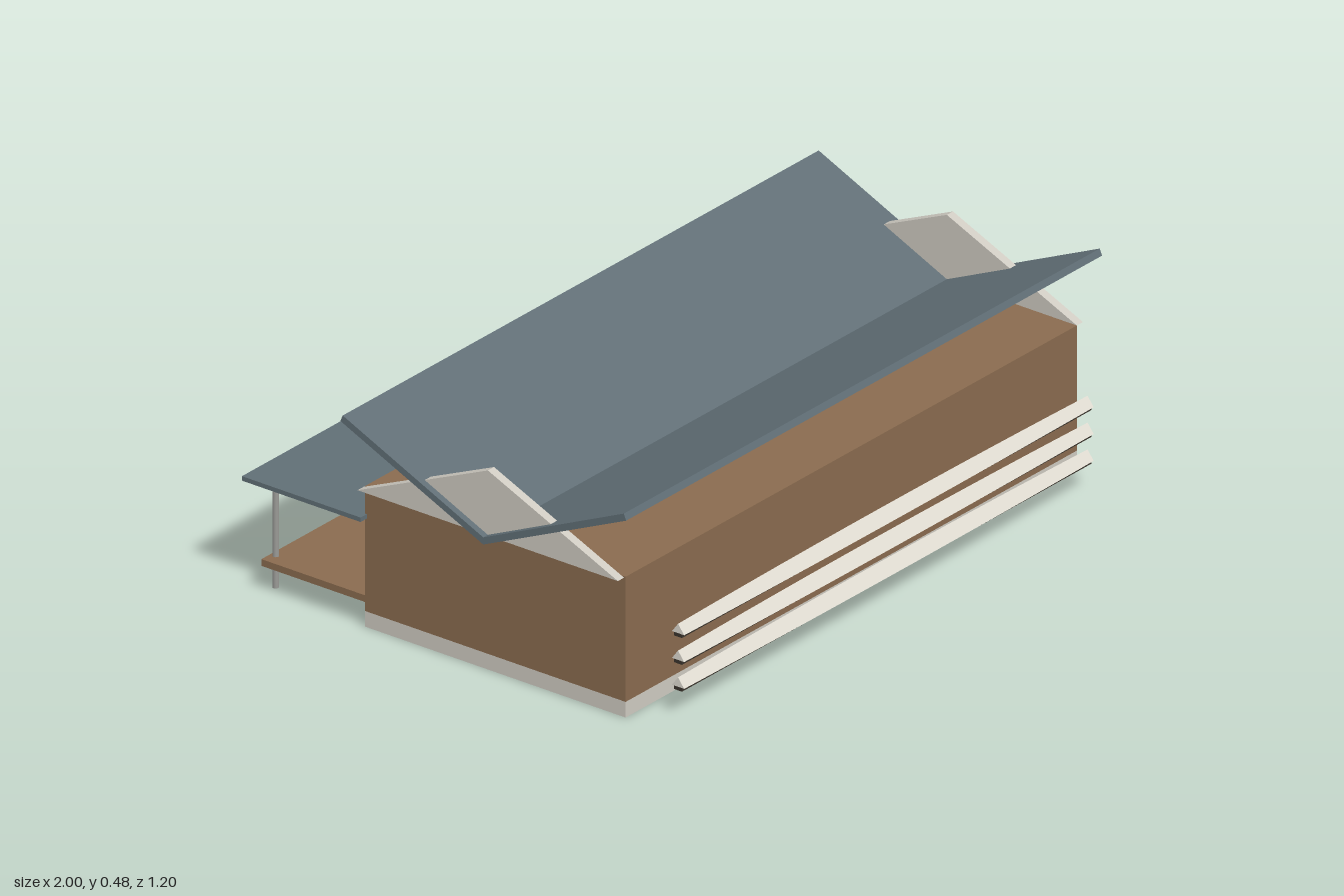
import * as THREE from 'three';

const mat = (name, color) => {
  const m = new THREE.MeshStandardMaterial({ color });
  m.name = name;
  return m;
};

export function createModel() {
  const group = new THREE.Group();
  const wood = mat('wood', 0x8a6b4f);
  const stone = mat('pale stone', 0xcfcbc2);
  const slate = mat('slate roof', 0x616f76);
  const glass = mat('glass', 0x4f6876);
  const hullPaint = mat('hull white', 0xe0dcd2);
  const dark = mat('dark timber', 0x3a342c);
  const steel = mat('post grey', 0x9a9a96);

  const add = (name, geometry, material) => {
    const mesh = new THREE.Mesh(geometry, material);
    mesh.name = name;
    group.add(mesh);
    return mesh;
  };

  // Box given by its limits on each axis
  const box = (name, material, x0, x1, y0, y1, z0, z1) => {
    const g = new THREE.BoxGeometry(x1 - x0, y1 - y0, z1 - z0);
    g.translate((x0 + x1) / 2, (y0 + y1) / 2, (z0 + z1) / 2);
    return add(name, g, material);
  };

  // Profile in (z, y), extruded along x
  const prism = (points, x0, x1, steps = 1) => {
    const shape = new THREE.Shape(points.map(([z, y]) => new THREE.Vector2(z, y)));
    const g = new THREE.ExtrudeGeometry(shape, { depth: x1 - x0, bevelEnabled: false, steps });
    return g.rotateY(-Math.PI / 2).translate(x1, 0, 0);
  };

  // Main hall
  box('plinth', stone, -0.96, 0.5, 0, 0.035, -0.167, 0.5);
  box('hallWalls', wood, -0.96, 0.5, 0.035, 0.315, -0.167, 0.5);

  // Gable plates at both ends
  const gable = [[-0.167, 0.315], [0.5, 0.315], [0.167, 0.461]];
  add('rightGable', prism(gable, -0.985, -0.965), stone);
  add('leftGable', prism(gable, 0.5, 0.52), stone);

  // Butterfly roof
  add('butterflyRoof', prism([
    [0.167, 0.301], [0.533, 0.466], [0.527, 0.48],
    [0.167, 0.317], [-0.193, 0.48], [-0.199, 0.466],
  ], -1, 0.54), slate);

  // Rear veranda
  box('verandaDeck', wood, -0.96, 0.5, 0.055, 0.07, -0.433, -0.167);
  box('verandaRoof', slate, -0.98, 0.52, 0.243, 0.253, -0.467, -0.163);
  box('rearGlazing', glass, -0.93, 0.47, 0.07, 0.243, -0.174, -0.166);
  for (let i = 0; i < 7; i++) {
    const g = new THREE.CylinderGeometry(0.007, 0.007, 0.243, 12);
    g.translate(-0.93 + i * 1.4 / 6, 0.1215, -0.42);
    add('verandaPost', g, steel);
  }

  // Gangway and jetty on short piles
  box('gangway', wood, 0.5, 0.9, 0.043, 0.057, -0.067, 0.133);
  box('jetty', wood, 0.8, 1, 0.028, 0.043, -0.6, 0);
  for (const x of [0.82, 0.98]) {
    for (const z of [-0.067, -0.3, -0.533]) {
      const g = new THREE.CylinderGeometry(0.009, 0.009, 0.028, 10);
      add('jettyPile', g.translate(x, 0.014, z), dark);
    }
  }

  // Stacked upturned boats, slimmer towards both ends
  const x0 = -0.89, x1 = 0.435, mid = (x0 + x1) / 2, half = (x1 - x0) / 2;
  for (const y of [0.066, 0.126, 0.186]) {
    const hull = prism([[-0.021, 0], [0.021, 0], [0, 0.028]], x0, x1, 12);
    const p = hull.attributes.position;
    for (let i = 0; i < p.count; i++) {
      const t = (p.getX(i) - mid) / half;
      const s = 1 - 0.25 * t * t;
      p.setXYZ(i, p.getX(i), y + p.getY(i) * s, 0.579 + p.getZ(i) * s);
    }
    hull.computeVertexNormals();
    add('boatHull', hull, hullPaint);
    box('boatDeck', dark, x0, x1, y - 0.008, y, 0.569, 0.589);
  }

  return group;
}
